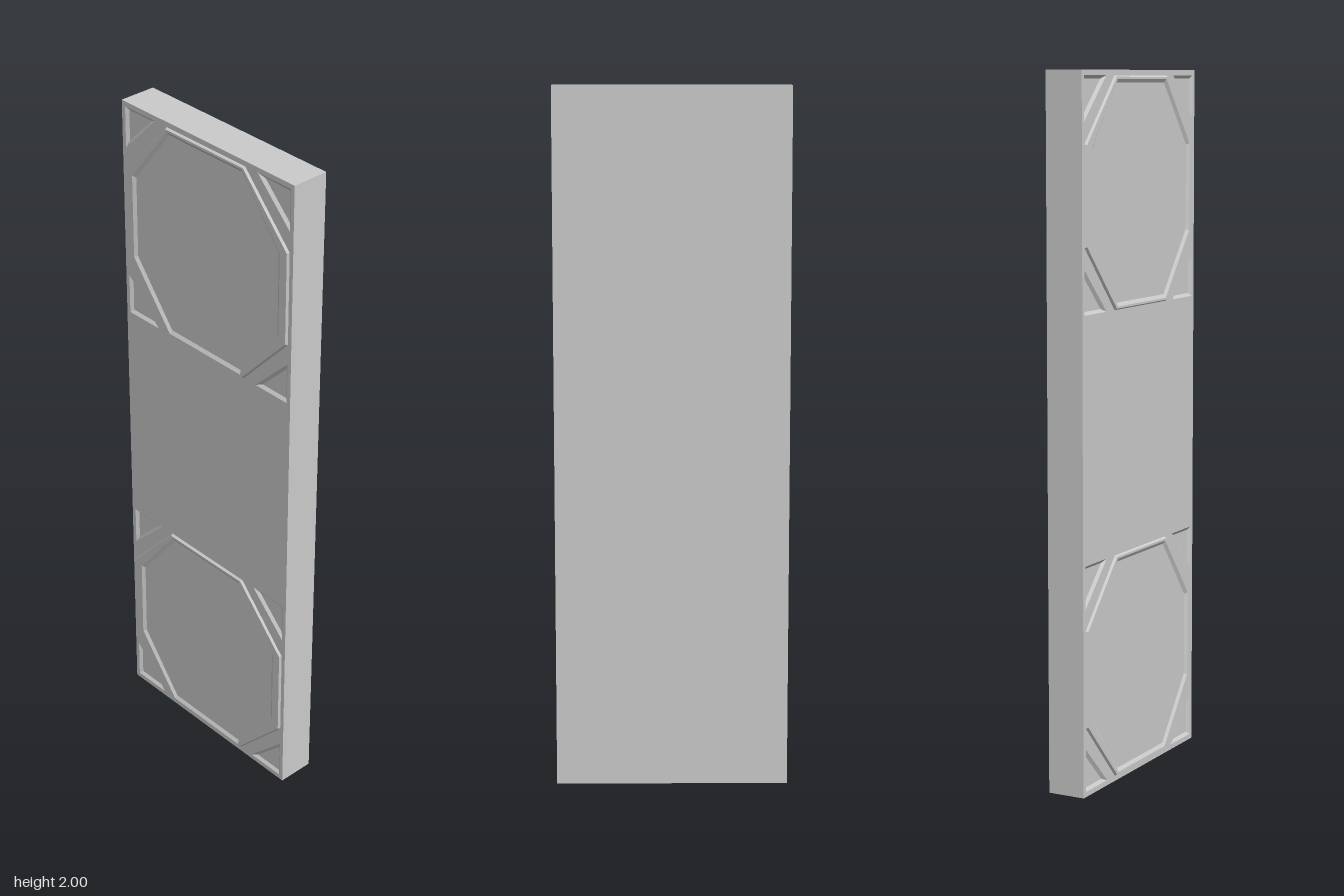
import * as THREE from 'three';

const BACK = -0.0585, FLOOR = 0.045, FACE = 0.052, TOP = 0.0585;
const TILE_Y = [0.335, 1.665];

// Octagon with half width w, half height h, half top edge a, half side edge b
const octagon = (w, h, a, b) => [
  [w, -b], [w, b], [a, h], [-a, h], [-w, b], [-w, -b], [-a, -h], [a, -h],
];

// Right triangle in a tile corner, inset by d on all three sides (counter-clockwise)
function triangle(sx, sy, d) {
  const c = 0.32 - d, leg = 0.122 - d * (2 + Math.SQRT2);
  const pts = [[c, c], [c - leg, c], [c, c - leg]].map(([x, y]) => [x * sx, y * sy]);
  return sx * sy < 0 ? pts.reverse() : pts;
}

// Flat-sided strip joining successive outlines, each { pts, z }
function loft(outlines) {
  const pos = [];
  for (let k = 0; k < outlines.length - 1; k++) {
    const A = outlines[k], B = outlines[k + 1], n = A.pts.length;
    for (let i = 0; i < n; i++) {
      const j = (i + 1) % n;
      const a = [...A.pts[i], A.z], b = [...A.pts[j], A.z];
      const c = [...B.pts[j], B.z], d = [...B.pts[i], B.z];
      pos.push(...a, ...b, ...c, ...a, ...c, ...d);
    }
  }
  const g = new THREE.BufferGeometry();
  g.setAttribute('position', new THREE.Float32BufferAttribute(pos, 3));
  g.computeVertexNormals();
  return g;
}

export function createModel() {
  const group = new THREE.Group();
  const mat = new THREE.MeshStandardMaterial({ color: 0xcccccc, flatShading: true });
  const add = (name, geo, y = 0, z = 0) => {
    const m = new THREE.Mesh(geo, mat);
    m.name = name;
    m.position.set(0, y, z);
    group.add(m);
  };
  const corners = [[1, 1], [-1, 1], [-1, -1], [1, -1]];

  // Main slab; its front is the floor of the corner pockets
  add('slab', new THREE.BoxGeometry(0.666, 2, FLOOR - BACK), 1, (FLOOR + BACK) / 2);

  // Front layer pierced by the triangular pockets
  const face = new THREE.Shape([[-0.333, 0], [0.333, 0], [0.333, 2], [-0.333, 2]]
    .map(([x, y]) => new THREE.Vector2(x, y)));
  for (const ty of TILE_Y) for (const [sx, sy] of corners) {
    face.holes.push(new THREE.Path(triangle(sx, sy, 0).map(([x, y]) => new THREE.Vector2(x, y + ty))));
  }
  add('frontLayer', new THREE.ExtrudeGeometry(face, { depth: FACE - FLOOR, bevelEnabled: false }), 0, FLOOR);

  for (const ty of TILE_Y) {
    // Raised octagonal moulding with sloped edges
    add('octagonMoulding', loft([
      { pts: octagon(0.32, 0.32, 0.152, 0.138), z: FACE },
      { pts: octagon(0.316, 0.316, 0.15, 0.136), z: TOP },
      { pts: octagon(0.29, 0.31, 0.144, 0.126), z: TOP },
      { pts: octagon(0.28, 0.3, 0.14, 0.122), z: FACE },
    ]), ty);
    // Sloped walls of the corner pockets
    for (const [sx, sy] of corners) {
      add('cornerPocket', loft([
        { pts: triangle(sx, sy, 0), z: FACE },
        { pts: triangle(sx, sy, 0.009), z: FLOOR },
      ]), ty);
    }
  }
  return group;
}
